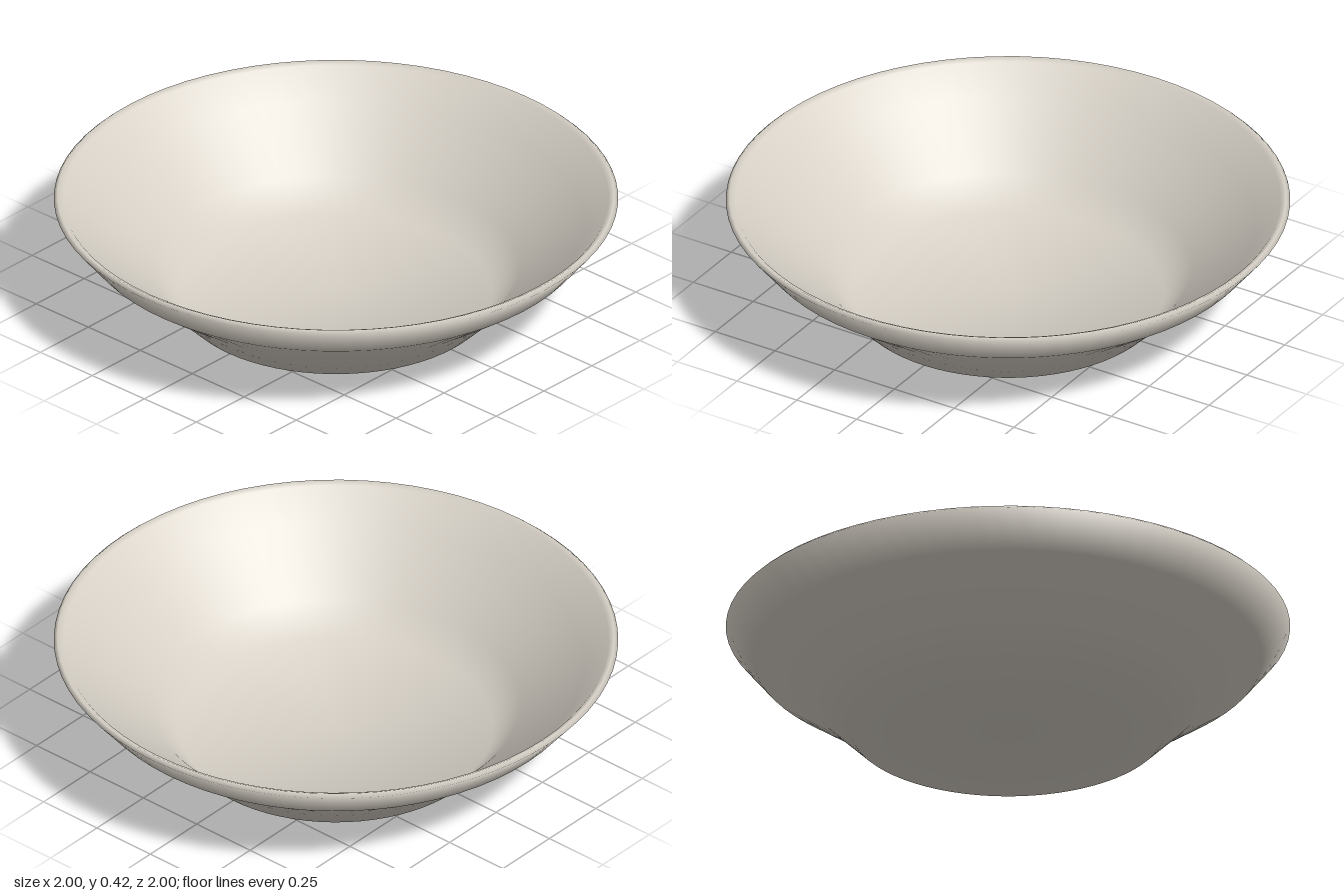
import * as THREE from 'three';

// Closed profile: base, flared outer wall, rim, inner wall, flat floor
const profile = [
  [0, 0], [0.555, 0],
  [0.695, 0.138], [0.90, 0.283],
  [0.998, 0.404], [0.985, 0.416], [0.965, 0.406],
  [0.88, 0.306], [0.65, 0.13], [0.555, 0.03], [0, 0.03],
].map(([r, y]) => new THREE.Vector2(r, y));

// Soft corners: every ring takes the even average of its two neighbouring slopes
function softLathe(points, segments) {
  const geometry = new THREE.LatheGeometry(points, segments);
  const slopes = points.slice(1).map((p, i) => {
    const d = p.clone().sub(points[i]).normalize();
    return new THREE.Vector2(d.y, -d.x);
  });
  const last = points.length - 1;
  const normals = points.map((p, i) =>
    slopes[Math.max(i - 1, 0)].clone().add(slopes[Math.min(i, last - 1)]).normalize());

  const attribute = geometry.attributes.normal;
  for (let s = 0; s <= segments; s++) {
    const angle = (s / segments) * Math.PI * 2;
    normals.forEach((n, i) => attribute.setXYZ(
      s * points.length + i, n.x * Math.sin(angle), n.y, n.x * Math.cos(angle)));
  }
  return geometry;
}

export function createModel() {
  const model = new THREE.Group();
  model.name = 'bowl';

  const ceramic = new THREE.MeshStandardMaterial({ color: 0xd6d0c6 });
  ceramic.name = 'warm white ceramic';

  const body = new THREE.Mesh(softLathe(profile, 72), ceramic);
  body.name = 'bowlBody';
  model.add(body);

  return model;
}
